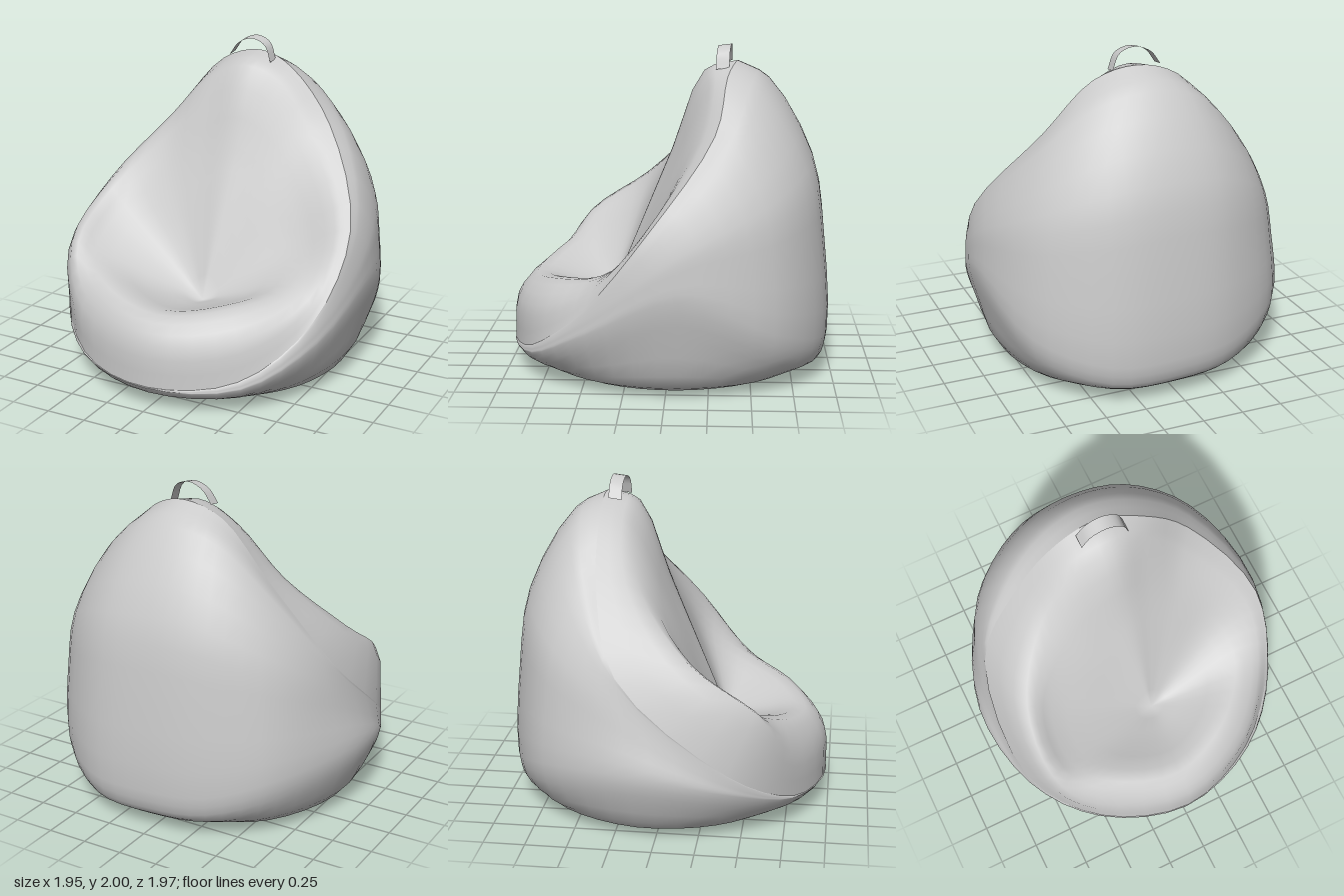
import * as THREE from 'three';
import { mergeVertices } from 'three/addons/utils/BufferGeometryUtils.js';

const V = (x, y, z) => new THREE.Vector3(x, y, z);
const SEAT = V(0.05, 0.48, 0.35);

// Spokes around the seat, counterclockwise from the front.
// angle: direction of the outer wall; R: its radius;
// foot: height where the wall starts to tuck under; pts: seam, bolster, inner slope
const spokes = [
  { angle: 0, R: 0.985, foot: 0.15, pts: [[0.02, 0.155, 0.98], [0.02, 0.42, 0.965], [0, 0.56, 0.84]] },
  { angle: 34, R: 0.98, foot: 0.18, pts: [[0.53, 0.23, 0.81], [0.51, 0.47, 0.78], [0.4, 0.61, 0.68]] },
  { angle: 62, R: 0.98, foot: 0.38, pts: [[0.84, 0.53, 0.47], [0.79, 0.65, 0.42], [0.64, 0.69, 0.38]] },
  { angle: 95, R: 0.98, foot: 0.6, pts: [[0.91, 0.99, 0.1], [0.82, 0.98, 0.12], [0.62, 0.86, 0.14]] },
  { angle: 128, R: 1.03, foot: 0.32, pts: [[0.6, 1.51, -0.28], [0.52, 1.45, -0.18], [0.4, 1.15, 0]] },
  { angle: 155, R: 1.025, foot: 0.17, pts: [[0.31, 1.82, -0.35], [0.28, 1.75, -0.24], [0.22, 1.3, -0.03]] },
  { angle: 180, R: 0.98, foot: 0.17, pts: [[0.06, 1.9, -0.41], [0.05, 1.84, -0.21], [0.05, 1.37, -0.02]] },
  { angle: 202, R: 0.99, foot: 0.2, pts: [[-0.2, 1.82, -0.41], [-0.19, 1.74, -0.22], [-0.15, 1.27, 0.01]] },
  { angle: 227, R: 1.01, foot: 0.34, pts: [[-0.5, 1.48, -0.39], [-0.46, 1.43, -0.14], [-0.36, 1.12, 0.07]] },
  { angle: 262, R: 0.985, foot: 0.42, pts: [[-0.83, 1, -0.23], [-0.72, 1.08, 0.17], [-0.58, 0.95, 0.21]] },
  { angle: 296, R: 0.97, foot: 0.32, pts: [[-0.87, 0.45, 0.42], [-0.75, 0.8, 0.57], [-0.61, 0.75, 0.52]] },
  { angle: 326, R: 0.965, foot: 0.18, pts: [[-0.53, 0.19, 0.8], [-0.55, 0.48, 0.78], [-0.44, 0.64, 0.71]] },
];

// Seat centre out to the seam
function panelSpoke({ pts }) {
  const [seam, bolster, slope] = pts.map((p) => V(...p));
  return [SEAT, slope.clone().lerp(SEAT, 0.5), slope, bolster, seam];
}

// Seam down the outer wall and under to the middle of the floor
function wallSpoke({ angle, R, foot, pts }) {
  const a = THREE.MathUtils.degToRad(angle);
  const out = (r, y) => V(Math.sin(a) * r * R, y, Math.cos(a) * r * R);
  const seam = V(...pts[0]);
  // The wall bulges everywhere except on the slack side, where it falls straight
  const slack = Math.max(0, 1 - Math.abs(angle - 262) / 40);
  const wall = [[0.06, 0.34], [0.33, 0.82], [0.6, 0.95], [0.94, 1]].map(([drop, spread]) => {
    const p = seam.clone().lerp(out(1, 0), THREE.MathUtils.lerp(spread, drop, slack));
    p.y = THREE.MathUtils.lerp(seam.y, foot, drop);
    return p;
  });
  return [seam, ...wall, out(0.95, foot * 0.65), out(0.83, 0.06), out(0.6, 0.012), V(0, 0, 0)];
}

// Smooth skin through a closed fan of spokes
function skin(lines) {
  const rows = (lines[0].length - 1) * 3;
  const around = lines.length * 4;
  const curves = lines.map((l) => new THREE.CatmullRomCurve3(l));
  const pos = [];
  const index = [];
  for (let i = 0; i <= rows; i++) {
    const ring = new THREE.CatmullRomCurve3(curves.map((c) => c.getPoint(i / rows)), true);
    for (let j = 0; j < around; j++) {
      const p = ring.getPoint(j / around);
      pos.push(p.x, Math.max(0, p.y), p.z);
      if (i === rows) continue;
      const a = i * around + j;
      const b = i * around + ((j + 1) % around);
      index.push(a, a + around, b, b, a + around, b + around);
    }
  }
  const geo = new THREE.BufferGeometry();
  geo.setAttribute('position', new THREE.Float32BufferAttribute(pos, 3));
  geo.setIndex(index);
  const welded = mergeVertices(geo, 1e-5);
  welded.computeVertexNormals();
  return welded;
}

// Flat carrying loop at the peak
function strap() {
  const path = new THREE.CatmullRomCurve3([
    V(-0.1, 1.88, -0.34), V(-0.04, 1.96, -0.34), V(0.06, 1.995, -0.335),
    V(0.15, 1.96, -0.325), V(0.19, 1.86, -0.32),
  ]);
  const geo = new THREE.PlaneGeometry(1, 0.08, 14, 1);
  const p = geo.attributes.position;
  for (let i = 0; i < p.count; i++) {
    const c = path.getPoint(p.getX(i) + 0.5);
    p.setXYZ(i, c.x, c.y + p.getY(i) * 0.12, c.z - p.getY(i));
  }
  geo.computeVertexNormals();
  return geo;
}

export function createModel() {
  const group = new THREE.Group();
  group.name = 'beanbagChair';
  const fabric = new THREE.MeshStandardMaterial({ color: 0xcccccc, side: THREE.DoubleSide });
  const add = (name, geo) => {
    const mesh = new THREE.Mesh(geo, fabric);
    mesh.name = name;
    group.add(mesh);
  };
  add('seatPanel', skin(spokes.map(panelSpoke)));
  add('outerBody', skin(spokes.map(wallSpoke)));
  add('carryStrap', strap());
  return group;
}
